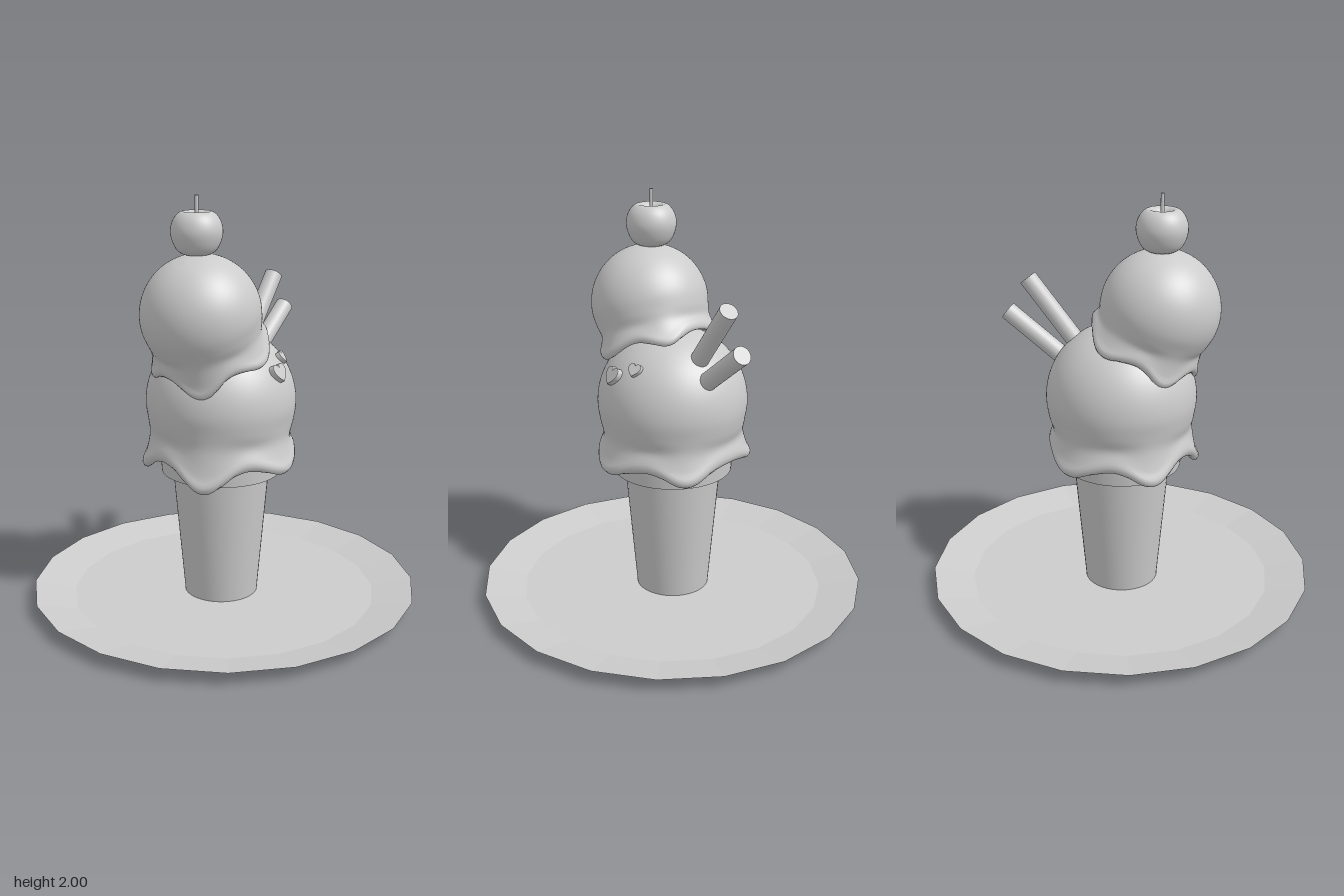
import * as THREE from 'three';
import { toCreasedNormals } from 'three/addons/utils/BufferGeometryUtils.js';

const material = new THREE.MeshStandardMaterial({ color: 0xcccccc });
const flatMaterial = new THREE.MeshStandardMaterial({ color: 0xcccccc, flatShading: true });
const X = -0.01;

function add(parent, name, geometry, mat = material) {
  const mesh = new THREE.Mesh(geometry, mat);
  mesh.name = name;
  parent.add(mesh);
  return mesh;
}

const lathe = (points, sides) =>
  new THREE.LatheGeometry(points.map(([r, y]) => new THREE.Vector2(r, y)), sides);

// Drips around a scoop: [angle in degrees, extra depth, half width]
const DRIPS = [[22, 0.115, 21], [90, 0.06, 24], [158, 0.065, 19], [243, 0.06, 23], [309, 0.085, 19]];

// Scoop: a ball whose profile runs into a flared, rolled skirt with drips
function scoopGeometry() {
  const R = 0.363, around = 120, along = 70;
  const positions = [], indices = [];
  for (let i = 0; i < around; i++) {
    const deg = (i / around) * 360;
    let drop = 0, flare = 0;
    for (const [center, depth, width] of DRIPS) {
      const d = ((deg - center + 540) % 360) - 180;
      const g = Math.exp(-((d / width) ** 2));
      drop += depth * g;
      flare += g;
    }
    const bottom = -0.245 - drop;
    const profile = [];
    for (let a = 0; a <= 105; a += 15) {
      const t = THREE.MathUtils.degToRad(a);
      profile.push([R * Math.sin(t), R * Math.cos(t)]);
    }
    profile.push(
      [0.333 + 0.012 * flare, -0.155], [0.343 + 0.025 * flare, bottom + 0.065],
      [0.352 + 0.033 * flare, bottom + 0.03], [0.338 + 0.03 * flare, bottom],
      [0.312 + 0.025 * flare, bottom + 0.014], [0.28, -0.22], [0, -0.2]);
    const curve = new THREE.CatmullRomCurve3(
      profile.map(([r, y]) => new THREE.Vector3(r, y, 0)), false, 'centripetal');
    const t = THREE.MathUtils.degToRad(deg);
    curve.getSpacedPoints(along).forEach((p, j) => {
      positions.push(p.x * Math.sin(t), p.y, p.x * Math.cos(t));
      if (j === along) return;
      const a = i * (along + 1) + j, c = ((i + 1) % around) * (along + 1) + j;
      indices.push(a, a + 1, c, a + 1, c + 1, c);
    });
  }
  const geometry = new THREE.BufferGeometry();
  geometry.setAttribute('position', new THREE.Float32BufferAttribute(positions, 3));
  geometry.setIndex(indices);
  geometry.computeVertexNormals();
  return geometry;
}

// Heart-shaped sprinkle, one unit wide
function heartGeometry() {
  const s = new THREE.Shape();
  s.moveTo(0, -0.45);
  s.bezierCurveTo(-0.3, -0.25, -0.5, -0.05, -0.5, 0.17);
  s.bezierCurveTo(-0.5, 0.5, -0.1, 0.53, 0, 0.25);
  s.bezierCurveTo(0.1, 0.53, 0.5, 0.5, 0.5, 0.17);
  s.bezierCurveTo(0.5, -0.05, 0.3, -0.25, 0, -0.45);
  return new THREE.ExtrudeGeometry(s, {
    depth: 0.3, bevelEnabled: true, bevelSize: 0.04, bevelThickness: 0.06, bevelSegments: 2, curveSegments: 8,
  }).translate(0, 0, -0.15);
}

export function createModel() {
  const model = new THREE.Group();
  model.name = 'iceCreamCone';

  // Shallow low-poly plate
  add(model, 'plate',
    lathe([[0, 0], [0.68, 0], [0.95, 0.065], [0.75, 0.026], [0, 0.026]], 20), flatMaterial);

  // Wafer cone with a wider collar under the ice cream
  const cone = add(model, 'cone', toCreasedNormals(
    lathe([[0, 0.026], [0.18, 0.026], [0.235, 0.66], [0.29, 0.66], [0.3, 0.8], [0, 0.8]], 48), 0.6));
  cone.position.set(X, 0, 0.01);

  // Two scoops, the upper one smaller and tipped forward
  const scoop = scoopGeometry();
  const lower = add(model, 'lowerScoop', scoop);
  lower.position.set(X, 1.01, 0.01);
  const upper = add(model, 'upperScoop', scoop);
  upper.position.set(0.005, 1.457, 0.193);
  upper.scale.setScalar(0.78);
  upper.rotation.x = 0.41;

  // Cherry with a dimple and a stem
  const cherry = new THREE.Group();
  cherry.name = 'cherry';
  cherry.position.set(X, 1.83, 0.2);
  model.add(cherry);
  const outline = new THREE.SplineCurve([
    [0, -0.09], [0.05, -0.098], [0.095, -0.07], [0.12, 0], [0.108, 0.06], [0.075, 0.096],
    [0.045, 0.09], [0.015, 0.055], [0, 0.05],
  ].map(([r, y]) => new THREE.Vector2(r, y)));
  add(cherry, 'cherryFruit', new THREE.LatheGeometry(
    outline.getPoints(32).map(p => p.setX(Math.max(p.x, 0))), 40));
  add(cherry, 'cherryStem', new THREE.CylinderGeometry(0.009, 0.009, 0.13, 10)).position.y = 0.105;

  // Wafer sticks leaning out of the back
  const up = new THREE.Vector3(0, 1, 0);
  for (const [y, z, dy, dz] of [[1.56, -0.452, 0.78, -0.625], [1.387, -0.558, 0.6, -0.8]]) {
    const direction = new THREE.Vector3(0, dy, dz).normalize();
    const stick = add(model, 'waferStick', new THREE.CylinderGeometry(0.044, 0.044, 0.5, 24));
    stick.quaternion.setFromUnitVectors(up, direction);
    stick.position.set(X, y, z).addScaledVector(direction, -0.25);
  }

  // Heart sprinkles lying on the lower scoop
  const heart = heartGeometry();
  for (const [x, y, z, size] of [[0.325, 0.175, 0, 0.088], [0.27, 0.222, -0.108, 0.064]]) {
    const sprinkle = add(model, 'heartSprinkle', heart);
    const normal = new THREE.Vector3(x, y, z).normalize();
    sprinkle.position.copy(lower.position).addScaledVector(normal, 0.368);
    sprinkle.lookAt(sprinkle.position.clone().add(normal));
    sprinkle.scale.setScalar(size);
  }
  return model;
}
